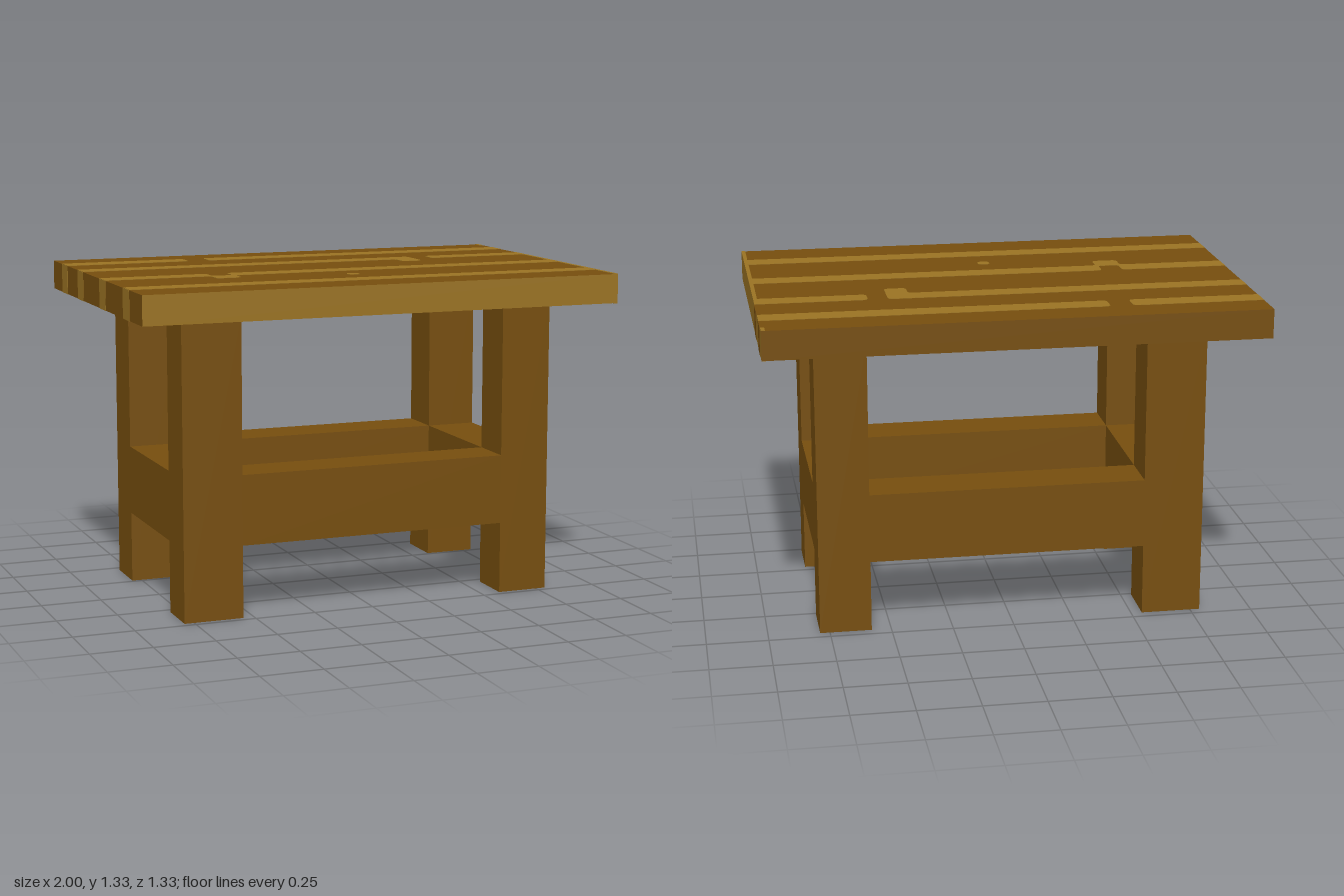
import * as THREE from 'three';

const dark = new THREE.MeshStandardMaterial({ color: 0x764e0e });
dark.name = 'darkWood';
const light = new THREE.MeshStandardMaterial({ color: 0x9a7323 });
light.name = 'lightWood';

const TOP = 1.332, UNDER = 1.214, W = 1, D = 0.666, T = 0.0015;

// Box given by its limits on each axis
function box(name, material, [x0, x1], [y0, y1], [z0, z1]) {
  const mesh = new THREE.Mesh(new THREE.BoxGeometry(x1 - x0, y1 - y0, z1 - z0), material);
  mesh.position.set((x0 + x1) / 2, (y0 + y1) / 2, (z0 + z1) / 2);
  mesh.name = name;
  return mesh;
}

// Outline through [x, z] corners, rounding those that are off the board's edge
function outline(points, r = 0.02) {
  const shape = new THREE.Shape();
  const pts = points.map(([x, z]) => new THREE.Vector2(x, -z));
  pts.forEach((p, i) => {
    const prev = pts[(i + pts.length - 1) % pts.length], next = pts[(i + 1) % pts.length];
    const k = Math.abs(p.x) >= W || Math.abs(p.y) >= D ? 0 : r;
    const a = p.clone().add(prev.clone().sub(p).setLength(k));
    const b = p.clone().add(next.clone().sub(p).setLength(k));
    if (i === 0) shape.moveTo(a.x, a.y); else shape.lineTo(a.x, a.y);
    if (k) shape.quadraticCurveTo(p.x, p.y, b.x, b.y);
  });
  shape.closePath();
  return shape;
}

const rect = (x0, x1, z0, z1) => [[x0, z0], [x0, z1], [x1, z1], [x1, z0]];

export function createModel() {
  const model = new THREE.Group();
  model.name = 'table';

  // Board: light on the front and on the +x end, dark elsewhere
  const board = box('tableTop', [light, dark, dark, dark, light, dark],
    [-W, W], [UNDER, TOP], [-D, D]);
  model.add(board);

  // Light grain, drawn on the top and the underside
  const grain = [
    rect(-1, -0.47, -0.52, -0.43),
    rect(-0.38, 1, -0.52, -0.43),
    [[-1, -0.265], [-1, -0.18], [0.38, -0.18], [0.38, -0.1], [0.47, -0.1], [0.47, -0.265]],
    rect(0.55, 1, -0.265, -0.18),
    // stripe that dips around a dark notch
    [[-1, 0.07], [-1, 0.158], [-0.565, 0.158], [-0.565, 0.238], [-0.46, 0.238], [-0.46, 0.158],
      [1, 0.158], [1, 0.07], [-0.47, 0.07], [-0.47, 0.15], [-0.555, 0.15], [-0.555, 0.07]],
    rect(-1, 1, 0.408, 0.495),
    rect(-0.025, 0.025, 0.255, 0.303),
    // worn plank ends
    rect(0.984, 1, -D, -0.62),
    rect(0.984, 1, -0.18, 0.07),
    rect(0.984, 1, 0.158, 0.408),
    rect(0.984, 1, 0.495, D),
  ];
  const grainGeometry = new THREE.ExtrudeGeometry(grain.map(p => outline(p, p[0][0] > 0.9 ? 0.007 : 0.02)),
    { depth: T, bevelEnabled: false, curveSegments: 4 });
  grainGeometry.rotateX(-Math.PI / 2);
  for (const [name, y] of [['topGrain', TOP], ['undersideGrain', UNDER - T]]) {
    const mesh = new THREE.Mesh(grainGeometry, light);
    mesh.position.y = y;
    mesh.name = name;
    model.add(mesh);
  }

  // Stripes on the two short ends
  for (const z of [[-0.52, -0.43], [-0.265, -0.18], [0.07, 0.158], [0.408, 0.495]])
    model.add(box('endGrain', light, [-W - T, -W], [UNDER, TOP], z));
  for (const z of [[-0.6, -0.507], [-0.365, -0.27]])
    model.add(box('plankEnd', dark, [W, W + T], [UNDER, TOP], z));

  // Legs
  const legX = [[-0.79, -0.545], [0.58, 0.79]];
  const legZ = [[-0.46, -0.262], [0.285, 0.475]];
  for (const x of legX) for (const z of legZ) model.add(box('leg', dark, x, [0, UNDER], z));

  // Stretchers, flush with the legs
  const railY = [0.295, 0.58];
  for (const z of legZ) model.add(box('longStretcher', dark, [legX[0][1], legX[1][0]], railY, z));
  for (const x of legX) model.add(box('sideStretcher', dark, x, railY, [legZ[0][1], legZ[1][0]]));

  return model;
}
